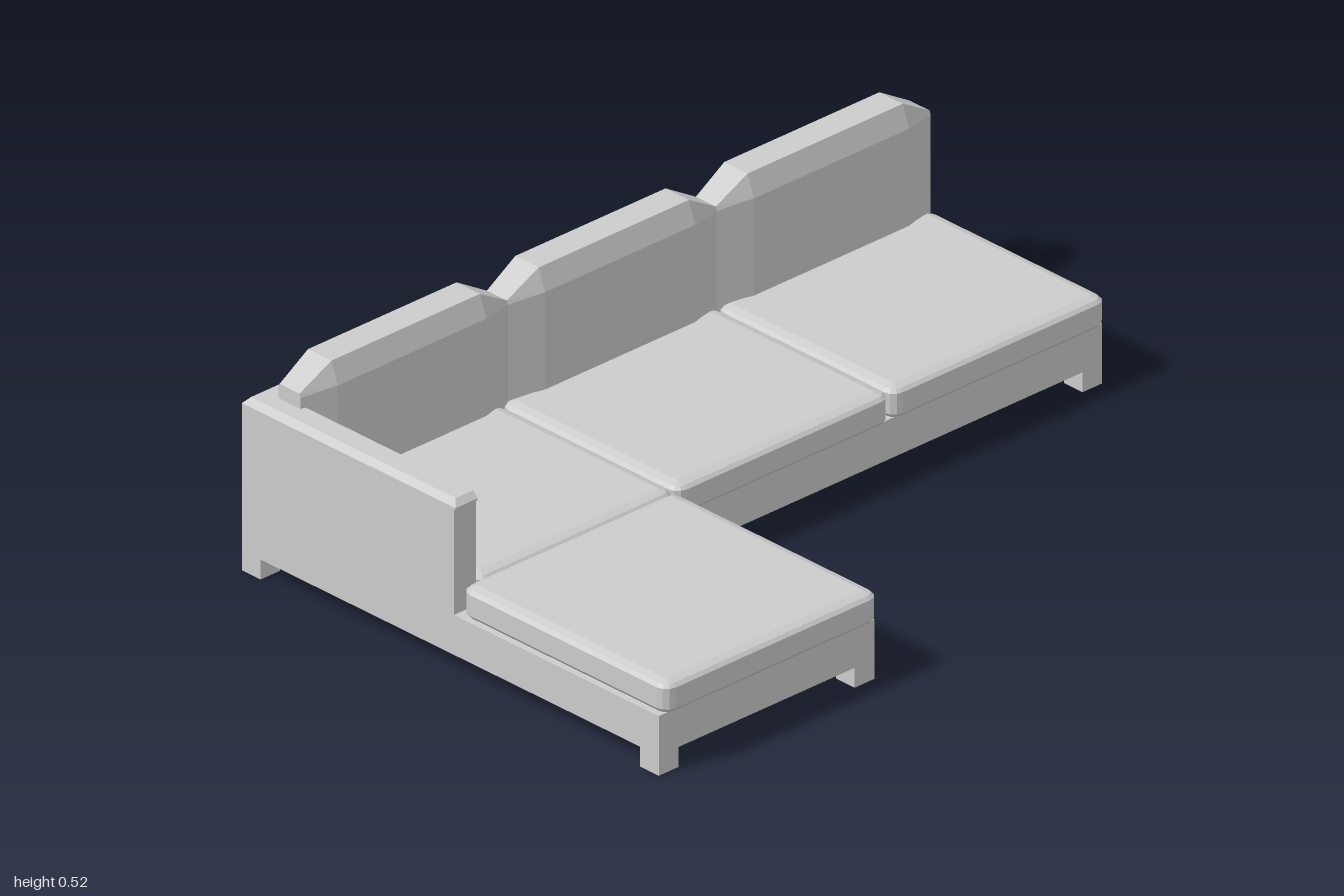
import * as THREE from 'three';

const material = new THREE.MeshStandardMaterial({ color: 0xcccccc, flatShading: true });

// Skin a list of equal-length rings (counterclockwise about the loft direction) and close both ends.
function loft(rings) {
  const n = rings[0].length, pos = [];
  const tri = (a, b, c) => pos.push(...a, ...b, ...c);
  for (let k = 0; k < rings.length - 1; k++) {
    const a = rings[k], b = rings[k + 1];
    for (let i = 0; i < n; i++) {
      const j = (i + 1) % n;
      tri(a[i], a[j], b[j]);
      tri(a[i], b[j], b[i]);
    }
  }
  const first = rings[0], last = rings[rings.length - 1];
  for (let i = 1; i < n - 1; i++) {
    tri(first[0], first[i + 1], first[i]);
    tri(last[0], last[i], last[i + 1]);
  }
  const g = new THREE.BufferGeometry();
  g.setAttribute('position', new THREE.Float32BufferAttribute(pos, 3));
  g.computeVertexNormals();
  return g;
}

// Horizontal rounded rectangle at height y, shrunk by inset.
function roundedRing(x0, x1, z0, z1, y, inset, r = 0.03) {
  const ring = [];
  const centres = [[x1 - r, z1 - r], [x1 - r, z0 + r], [x0 + r, z0 + r], [x0 + r, z1 - r]];
  centres.forEach(([cx, cz], c) => {
    for (let s = 0; s <= 3; s++) {
      const a = -Math.PI / 2 + (c + s / 3) * Math.PI / 2;
      ring.push([cx + (r - inset) * Math.cos(a), y, cz - (r - inset) * Math.sin(a)]);
    }
  });
  return ring;
}

function seatCushion(x0, x1, z0, z1) {
  return loft([[0.15, 0.008], [0.16, 0], [0.212, 0], [0.22, 0.008], [0.226, 0.027]]
    .map(([y, inset]) => roundedRing(x0, x1, z0, z1, y, inset)));
}

// Back cushion: full section in the middle, slimmer and lower at both ends.
function backCushion(z0, z1) {
  const b = 0.15, slope = 0.09;
  const end = [[-0.615, b], [-0.545, b], [-0.545, 0.462], [-0.548, 0.472], [-0.612, 0.472], [-0.615, 0.462]];
  const mid = [[-0.63, b], [-0.52, b], [-0.52, 0.47], [-0.54, 0.525], [-0.615, 0.525], [-0.63, 0.47]];
  const at = (section, z) => section.map(([x, y]) => [x, y, z]);
  return loft([at(end, z0), at(mid, z0 + slope), at(mid, z1 - slope), at(end, z1)]);
}

// Extrude a plan outline of [x, z] points between two heights.
function plan(points, y0, y1) {
  const shape = new THREE.Shape(points.map(([x, z]) => new THREE.Vector2(x, -z)));
  return new THREE.ExtrudeGeometry(shape, { depth: y1 - y0, bevelEnabled: false })
    .rotateX(-Math.PI / 2).translate(0, y0, 0);
}

// L-shaped wall outline, starting at its inner corner.
function wallRing(y, inset, over = 0) {
  const L = -0.675 + inset, R = 0.005 + over - inset, B = -0.995, F = 0.99 - inset;
  return [[-0.632, 0.922], [-0.632, B], [L, B], [L, F], [R, F], [R, 0.922]].map(([x, z]) => [x, y, z]);
}

export function createModel() {
  const group = new THREE.Group();
  const add = (name, geometry) => {
    const mesh = new THREE.Mesh(geometry, material);
    mesh.name = name;
    group.add(mesh);
    return mesh;
  };

  // L-shaped base
  add('base', plan([[-0.675, -0.995], [-0.675, 0.99], [0.662, 0.99], [0.662, 0.33],
    [0.005, 0.33], [0.005, -0.995]], 0.05, 0.15));

  // Back and arm wall with a bevelled cap
  add('backAndArm', loft([wallRing(0.15, 0), wallRing(0.415, 0)]));
  add('backAndArmCap', loft([wallRing(0.415, 0, 0.005), wallRing(0.42, 0, 0.005), wallRing(0.435, 0.014, 0.005)]));

  // Seat cushions
  [[-1, -0.343], [-0.338, 0.318], [0.323, 0.925]].forEach(([z0, z1], i) =>
    add('seatCushion' + (i + 1), seatCushion(-0.555, 0.018, z0, z1)));
  add('chaiseCushion', seatCushion(0.015, 0.675, 0.325, 0.98));

  // Back cushions
  [[-0.995, -0.34], [-0.34, 0.3], [0.3, 0.935]].forEach(([z0, z1], i) =>
    add('backCushion' + (i + 1), backCushion(z0, z1)));

  // Square feet
  const s = 0.06;
  [[-0.645, -0.965], [-0.025, -0.965], [-0.645, 0.36], [-0.03, 0.36],
    [0.632, 0.36], [0.632, 0.96], [-0.645, 0.96]].forEach(([x, z], i) =>
    add('foot' + (i + 1), new THREE.BoxGeometry(s, 0.05, s)).position.set(x, 0.025, z));

  return group;
}
